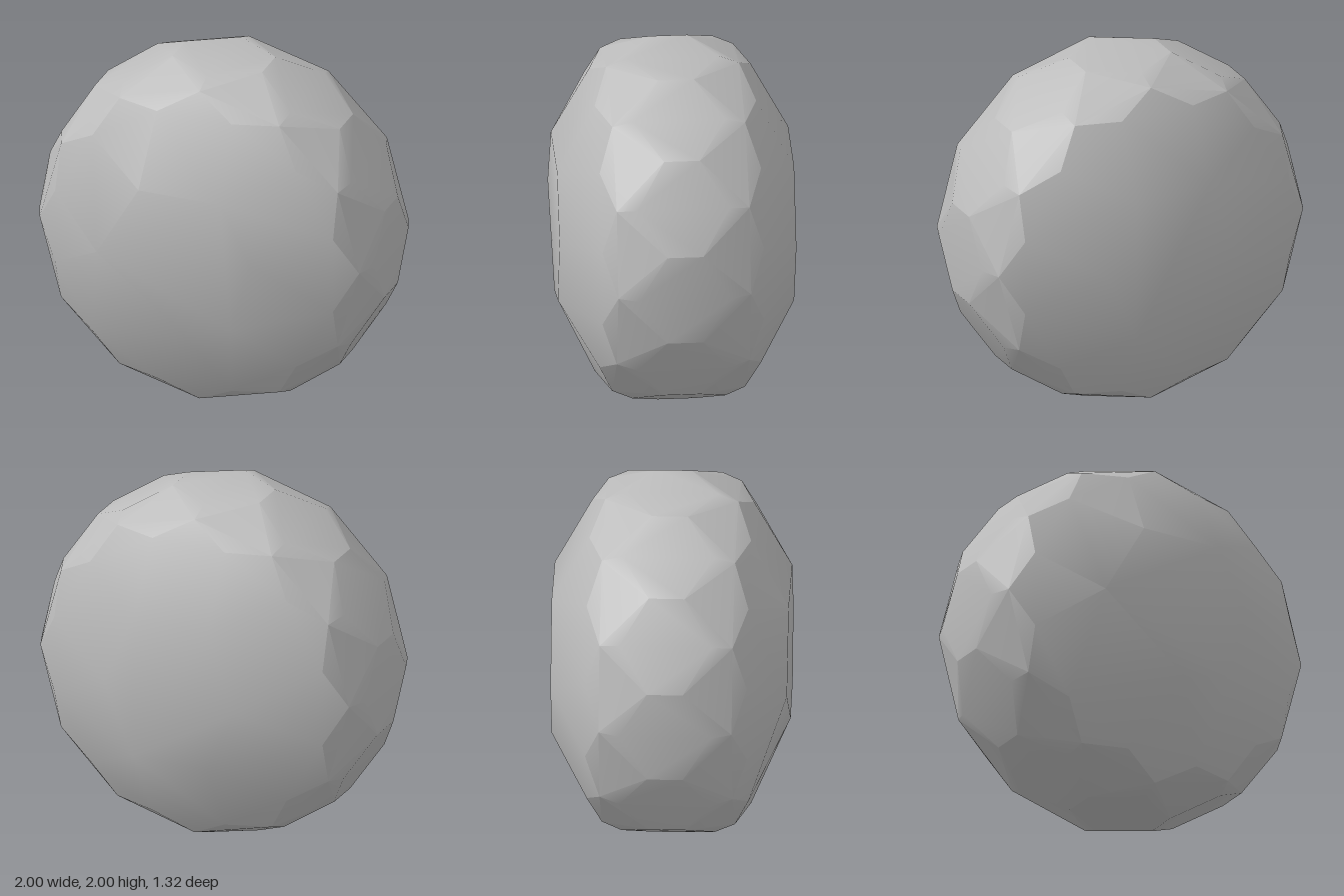
import * as THREE from 'three';
import { ConvexGeometry } from 'three/addons/geometries/ConvexGeometry.js';
import { toCreasedNormals } from 'three/addons/utils/BufferGeometryUtils.js';

export function createModel() {
  const group = new THREE.Group();
  group.name = 'flattenedStone';
  const stone = new THREE.MeshStandardMaterial({ color: 0xbcbcbc });
  stone.name = 'stone grey';

  const points = [];
  // Twelve points around the z axis on each half of the stone
  const ring = (radius, z, startDeg) => {
    for (let i = 0; i < 12; i++) {
      const a = THREE.MathUtils.degToRad(startDeg + 30 * i);
      for (const s of [-1, 1]) {
        points.push(new THREE.Vector3(radius * Math.cos(a), 1 + radius * Math.sin(a), s * z));
      }
    }
  };
  ring(1.035, 0.1, 15); // short ridges around the girth
  ring(1.0, 0.26, 0); // corners of the girth facets
  ring(0.955, 0.37, 0); // outer rim of each broad face
  ring(0.86, 0.45, 15); // inner rim of each broad face

  // Flat, slightly uneven middle of the front and back faces
  const front = [[-0.5, 1], [-0.25, 1.43], [0.24, 1.43], [0.42, 1.08], [0.3, 0.66], [0.02, 0.58]];
  const back = [[-0.38, 0.96], [-0.22, 1.43], [0.24, 1.42], [0.42, 1], [0.24, 0.58], [-0.22, 0.59]];
  for (const [x, y] of front) points.push(new THREE.Vector3(x, y, 0.66));
  for (const [x, y] of back) points.push(new THREE.Vector3(x, y, -0.66));

  // Part the hull into two broad faces and the girth, so the rims stay sharp
  const hull = new ConvexGeometry(points);
  const { position, normal } = hull.attributes;
  const addPart = (name, belongs, crease) => {
    const corners = [];
    for (let i = 0; i < position.count; i += 3) {
      if (!belongs(normal.getZ(i))) continue;
      for (let k = i; k < i + 3; k++) corners.push(new THREE.Vector3().fromBufferAttribute(position, k));
    }
    const geometry = new THREE.BufferGeometry().setFromPoints(corners);
    const mesh = new THREE.Mesh(toCreasedNormals(geometry, crease), stone);
    mesh.name = name;
    group.add(mesh);
  };
  addPart('frontFace', (nz) => nz > 0.7, 0.56);
  addPart('backFace', (nz) => nz < -0.7, 0.56);
  addPart('girth', (nz) => Math.abs(nz) <= 0.7, 0.45);
  return group;
}
